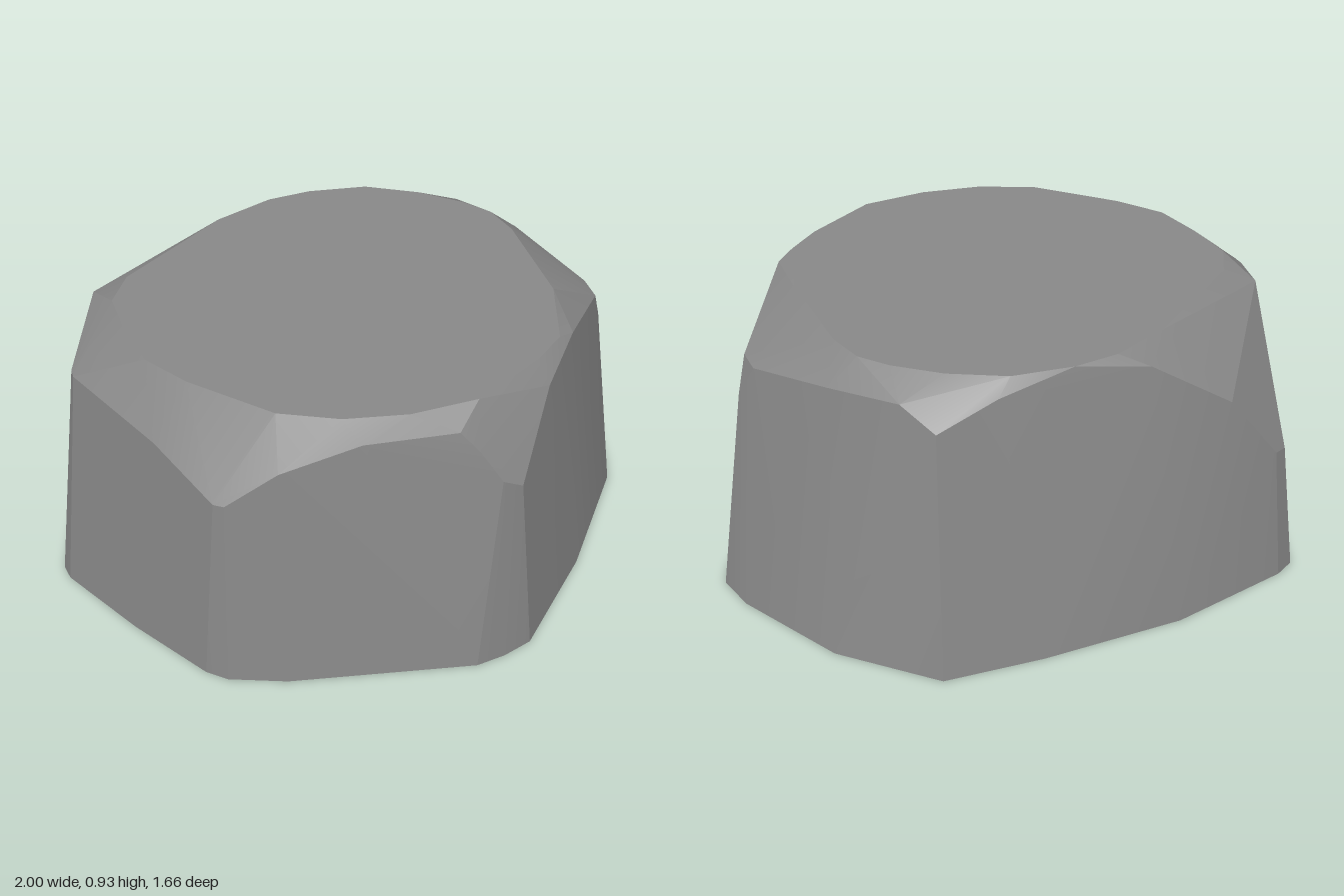
import * as THREE from 'three';
import { ConvexGeometry } from 'three/addons/geometries/ConvexGeometry.js';
import { toCreasedNormals } from 'three/addons/utils/BufferGeometryUtils.js';

// Outline on the ground, as [x, z]
const base = [
  [-1, 0], [-0.99, 0.06], [-0.82, 0.36], [-0.64, 0.63], [-0.58, 0.68], [-0.4, 0.74],
  [0.2, 0.83], [0.3, 0.81], [0.4, 0.77], [0.69, 0.44], [0.97, 0.03], [1, -0.05],
  [0.97, -0.19], [0.79, -0.55], [0.53, -0.81], [0.2, -0.83], [-0.28, -0.82],
  [-0.7, -0.72], [-0.77, -0.68], [-0.94, -0.22],
];

// Flat top outline, as [x, z]
const top = [
  [-0.73, 0.02], [-0.74, -0.16], [-0.67, -0.29], [-0.48, -0.43], [-0.3, -0.58], [-0.1, -0.67],
  [0.05, -0.69], [0.25, -0.67], [0.42, -0.58], [0.55, -0.47], [0.62, -0.38], [0.65, -0.25],
  [0.65, 0.15], [0.57, 0.42], [0.46, 0.52], [0.22, 0.67], [0, 0.69], [-0.2, 0.66],
  [-0.38, 0.58], [-0.6, 0.35], [-0.7, 0.2],
];

// Broken corners between the walls and the top, as [x, y, z]
const shoulders = [
  // right corner
  [0.86, 0.79, -0.08], [0.86, 0.79, 0.02], [0.9, 0.68, -0.03], [0.72, 0.85, -0.39], [0.63, 0.91, 0.38],
  // back right corner
  [0.5, 0.81, -0.71], [0.57, 0.87, -0.6], [0.3, 0.88, -0.7],
  // front corner
  [0.34, 0.65, 0.765], [0.27, 0.69, 0.78], [0.48, 0.87, 0.58], [0.2, 0.8, 0.76], [0.14, 0.87, 0.74],
  // front left corner
  [-0.59, 0.67, 0.63], [-0.56, 0.67, 0.65], [-0.72, 0.76, 0.4], [-0.4, 0.78, 0.68], [-0.15, 0.86, 0.71],
  // left corner
  [-0.905, 0.79, 0.03], [-0.905, 0.79, -0.01], [-0.78, 0.88, -0.31],
  // back left corner
  [-0.72, 0.45, -0.66], [-0.67, 0.46, -0.69], [-0.48, 0.7, -0.71], [-0.2, 0.88, -0.7],
];

export function createModel() {
  const group = new THREE.Group();
  group.name = 'rock';

  const points = [
    ...base.map(([x, z]) => new THREE.Vector3(x, 0, z)),
    ...top.map(([x, z]) => new THREE.Vector3(x, 0.93, z)),
    ...shoulders.map((p) => new THREE.Vector3(...p)),
  ];

  // Boulder wrapped around the outlines, with gently blended walls and sharp breaks
  const boulder = new THREE.Mesh(
    toCreasedNormals(new ConvexGeometry(points), 0.25),
    new THREE.MeshStandardMaterial({ color: 0x898989 }),
  );
  boulder.name = 'boulder';
  group.add(boulder);
  return group;
}
